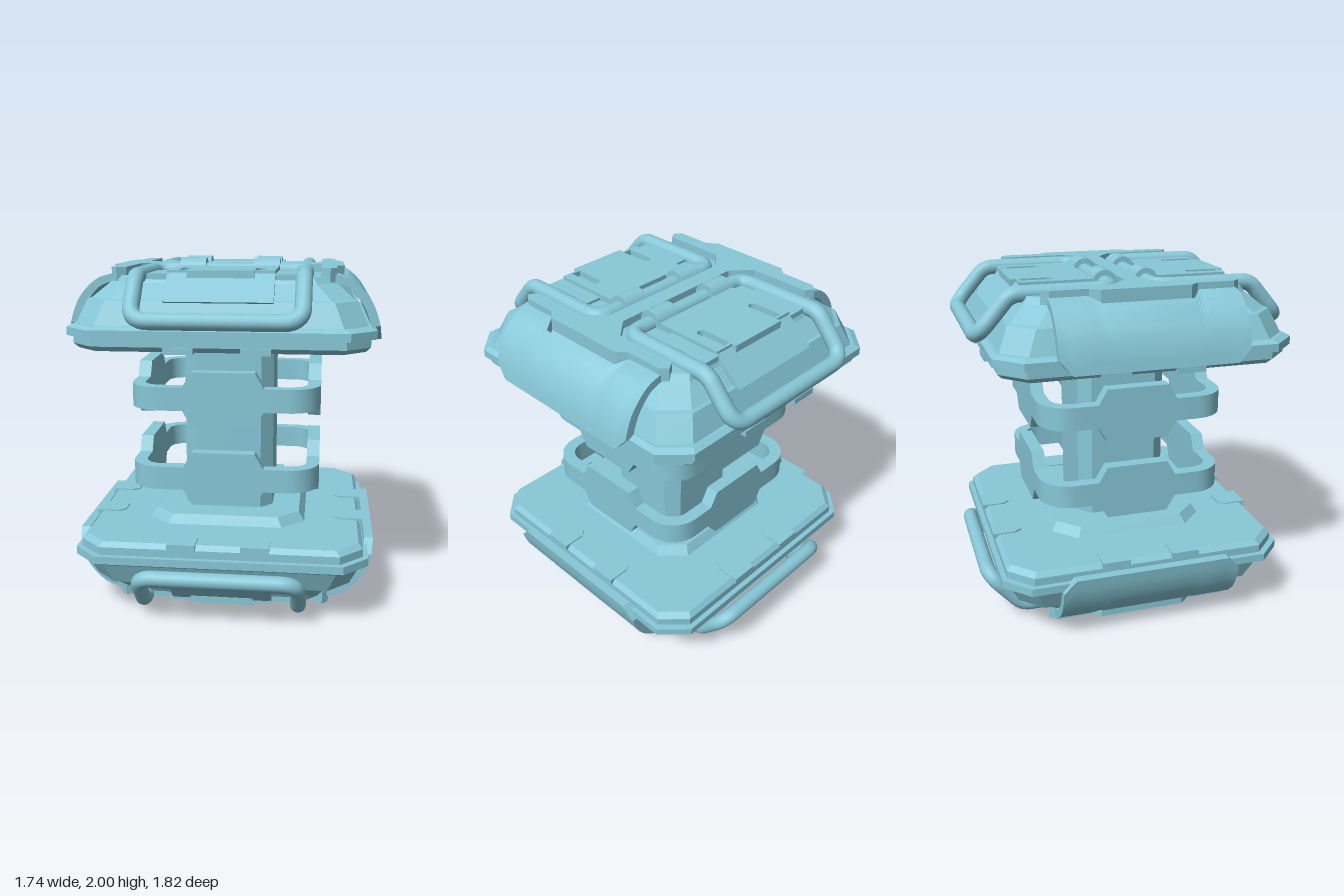
import * as THREE from 'three';
import { toCreasedNormals } from 'three/addons/utils/BufferGeometryUtils.js';

const teal = new THREE.MeshStandardMaterial({ color: 0x88c8d8 });
teal.name = 'pale teal';

function add(parent, name, geometry) {
  const mesh = new THREE.Mesh(geometry, teal);
  mesh.name = name;
  parent.add(mesh);
  return mesh;
}

// Skin a list of equal-sized closed sections ([x, y, z] points); closed joins the last to the first.
function loft(sections, closed = false, crease = 0.5) {
  const tris = [];
  const n = sections[0].length;
  const quad = (a, b, c, d) => tris.push(a, b, c, a, c, d);
  const count = closed ? sections.length : sections.length - 1;
  for (let s = 0; s < count; s++) {
    const a = sections[s], b = sections[(s + 1) % sections.length];
    for (let i = 0; i < n; i++) {
      const j = (i + 1) % n;
      quad(a[i], a[j], b[j], b[i]);
    }
  }
  if (!closed) {
    const a = sections[0], b = sections[sections.length - 1];
    for (let i = 0; i < n / 2 - 1; i++) {
      quad(a[i + 1], a[i], a[n - 1 - i], a[n - 2 - i]);
      quad(b[i], b[i + 1], b[n - 2 - i], b[n - 1 - i]);
    }
  }
  // Turn the skin outward if its volume comes out negative
  let volume = 0;
  const [p, q, r] = [0, 1, 2].map(() => new THREE.Vector3());
  for (let t = 0; t < tris.length; t += 3) {
    p.fromArray(tris[t]); q.fromArray(tris[t + 1]); r.fromArray(tris[t + 2]);
    volume += p.dot(q.cross(r));
  }
  if (volume < 0) tris.reverse();
  const g = new THREE.BufferGeometry();
  g.setAttribute('position', new THREE.Float32BufferAttribute(tris.flat(), 3));
  return toCreasedNormals(g, crease);
}

// Chamfered square tiers, each [y, half width, corner cut]
function tiers(levels) {
  return loft(levels.map(([y, h, c]) => {
    const k = h - c;
    return [[k, h], [h, k], [h, -k], [k, -h], [-k, -h], [-h, -k], [-h, k], [-k, h]]
      .map(([x, z]) => [x, y, z]);
  }), false, 0.1);
}

// Flat plate in plan (x, z), from height y0 up to y1
function plate(points, y0, y1, holes = []) {
  const shape = new THREE.Shape(points.map(([x, z]) => new THREE.Vector2(x, -z)));
  shape.holes.push(...holes);
  return new THREE.ExtrudeGeometry(shape, { depth: y1 - y0, bevelEnabled: false })
    .rotateX(-Math.PI / 2).translate(0, y0, 0);
}

// Bent carrying loop with rounded corners
function handleGeometry() {
  const w = 0.445;
  const corners = [[-w, 1.925, 0.12, 0.09], [w, 1.925, 0.12, 0.09], [w, 1.925, 0.68, 0.05],
    [w, 1.71, 0.867, 0.1], [-w, 1.71, 0.867, 0.1], [-w, 1.925, 0.68, 0.05]];
  const pts = corners.map(c => new THREE.Vector3(c[0], c[1], c[2]));
  const path = new THREE.CurvePath();
  const toward = (a, b, d) => a.clone().add(b.clone().sub(a).setLength(d));
  pts.forEach((p, i) => {
    const j = (i + 1) % 6, next = pts[j], prev = pts[(i + 5) % 6];
    path.add(new THREE.QuadraticBezierCurve3(toward(p, prev, corners[i][3]), p, toward(p, next, corners[i][3])));
    path.add(new THREE.LineCurve3(toward(p, next, corners[i][3]), toward(next, p, corners[j][3])));
  });
  return new THREE.TubeGeometry(path, 160, 0.045, 14, true);
}

// Curved side guard with a notch in its upper edge and cut lower corners
function guardGeometry() {
  const outer = new THREE.CatmullRomCurve3([[0.61, 1.93], [0.70, 1.90], [0.80, 1.80], [0.85, 1.68], [0.868, 1.58]]
    .map(([x, y]) => new THREE.Vector3(x, y, 0)));
  const inner = new THREE.CatmullRomCurve3([[0.60, 1.89], [0.68, 1.86], [0.76, 1.77], [0.80, 1.67], [0.815, 1.58]]
    .map(([x, y]) => new THREE.Vector3(x, y, 0)));
  const cuts = [[-0.52, 0, 0.8], [-0.45, 0, 1], [-0.31, 0, 1], [-0.25, 0.24, 1],
    [0.25, 0.24, 1], [0.31, 0, 1], [0.45, 0, 1], [0.52, 0, 0.8]];
  const steps = 12;
  return loft(cuts.map(([z, t0, t1]) => {
    const row = curve => Array.from({ length: steps + 1 }, (_, i) => {
      const p = curve.getPoint(t0 + (t1 - t0) * i / steps);
      return [p.x, p.y, z];
    });
    return [...row(outer), ...row(inner).reverse()];
  }));
}

// Rounded square ring, taller in the middle of each side
function ringGeometry() {
  const outerHalf = 0.545, innerHalf = 0.47, straight = 0.365;
  const sections = [];
  for (let side = 0; side < 4; side++) {
    const turn = side * Math.PI / 2;
    const section = (ox, oz, ix, iz, h) => {
      const spin = (x, y, z) => [x * Math.cos(turn) + z * Math.sin(turn), y, -x * Math.sin(turn) + z * Math.cos(turn)];
      sections.push([spin(ox, h, oz), spin(ox, -h, oz), spin(ix, -h, iz), spin(ix, h, iz)]);
    };
    for (const [x, h] of [[-0.23, 0.067], [-0.18, 0.155], [0.18, 0.155], [0.23, 0.067]])
      section(x, outerHalf, x, innerHalf, h);
    for (let i = 0; i <= 8; i++) {
      const a = i / 8 * Math.PI / 2, ro = outerHalf - straight, ri = innerHalf - straight;
      section(straight + ro * Math.sin(a), straight + ro * Math.cos(a),
        straight + ri * Math.sin(a), straight + ri * Math.cos(a), 0.067);
    }
  }
  return loft(sections, true);
}

// Rounded-end slot cut through a panel, drawn in plan
function slot(x) {
  const path = new THREE.Path();
  path.moveTo(x - 0.027, -0.585);
  path.lineTo(x + 0.027, -0.585);
  path.lineTo(x + 0.027, -0.42);
  path.absarc(x, -0.42, 0.027, 0, Math.PI);
  return path;
}

function buildCap() {
  const cap = new THREE.Group();

  // Stacked body
  add(cap, 'collar', tiers([[1.485, 0.43, 0.12], [1.54, 0.465, 0.13]]));
  add(cap, 'basePlate', tiers([[1.538, 0.775, 0.125], [1.565, 0.80, 0.13], [1.64, 0.80, 0.13]]));
  add(cap, 'rim', tiers([[1.61, 0.83, 0.14], [1.655, 0.83, 0.14], [1.672, 0.80, 0.13]]));
  add(cap, 'shell', tiers([[1.66, 0.79, 0.13], [1.80, 0.73, 0.125], [1.805, 0.71, 0.12],
    [1.885, 0.62, 0.11], [1.92, 0.60, 0.11]]));

  // Raised top frame joining both sides through the central ridge
  const quarter = [[0.42, 0.05], [0.53, 0.15], [0.53, 0.52], [0.58, 0.55], [0.615, 0.51],
    [0.615, 0.30], [0.66, 0.25]];
  const half = [...quarter, ...quarter.map(([x, z]) => [x, -z]).reverse()];
  add(cap, 'topFrame', plate([...half, ...half.map(([x, z]) => [-x, -z])].reverse(), 1.89, 1.965));

  for (const end of [0, Math.PI]) {
    const side = new THREE.Group();
    side.name = 'handleSide';
    side.rotation.y = end;
    cap.add(side);

    add(side, 'handle', handleGeometry());
    for (const x of [-0.215, 0.215])
      add(side, 'handleClip', new THREE.CylinderGeometry(0.07, 0.07, 0.15, 24).rotateZ(Math.PI / 2).translate(x, 1.93, 0.12));

    // Slotted panel within the handle and its sloping apron
    add(side, 'slottedPanel', plate([[-0.29, 0.19], [-0.29, 0.60], [-0.18, 0.60], [-0.18, 0.63], [0.18, 0.63],
      [0.18, 0.60], [0.29, 0.60], [0.29, 0.19]], 1.915, 1.955, [slot(-0.205), slot(0.205)]));
    const apron = [[1.94, 0.60], [1.80, 0.755], [1.78, 0.70], [1.88, 0.58]];
    add(side, 'apron', loft([-0.29, 0.29].map(x => apron.map(([y, z]) => [x, y, z]))));
    for (const x of [-0.36, 0.36])
      add(side, 'panelShoulder', new THREE.BoxGeometry(0.16, 0.03, 0.33).translate(x, 1.92, 0.445));
  }

  // Side guards
  for (const turn of [0, Math.PI])
    add(cap, 'sideGuard', guardGeometry()).rotation.y = turn;

  // Small tabs along every edge of the base plate
  for (let k = 0; k < 4; k++) {
    for (const x of [-0.205, 0.205]) {
      const tab = plate([[x - 0.08, 0.81], [x + 0.08, 0.81], [x + 0.08, 0.68], [x + 0.05, 0.64],
        [x - 0.05, 0.64], [x - 0.08, 0.68]], 1.53, 1.565);
      add(cap, 'edgeTab', tab).rotation.y = k * Math.PI / 2;
    }
  }
  return cap;
}

export function createModel() {
  const model = new THREE.Group();

  add(model, 'column', tiers([[0.49, 0.265, 0.07], [1.51, 0.265, 0.07]]));
  for (const y of [0.77, 1.235])
    add(model, 'ring', ringGeometry()).position.y = y;

  // The lower cap is the upper one turned over
  const upper = buildCap();
  upper.name = 'upperCap';
  const lower = buildCap();
  lower.name = 'lowerCap';
  lower.rotation.x = Math.PI;
  lower.position.y = 2;
  model.add(upper, lower);
  return model;
}
